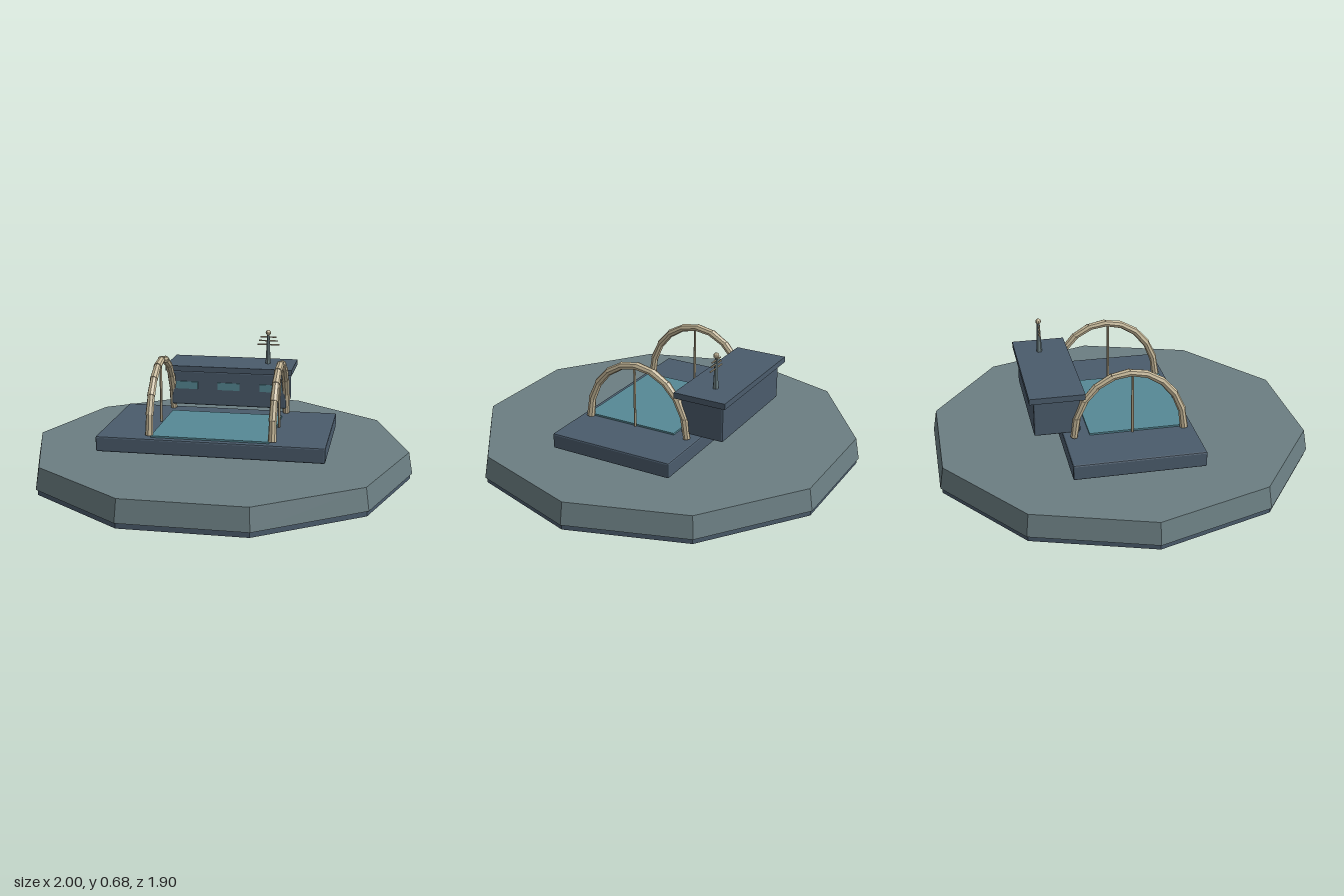
import * as THREE from 'three';
import { RoundedBoxGeometry } from 'three/addons/geometries/RoundedBoxGeometry.js';

const material = (name, color, flatShading = true) => {
  const m = new THREE.MeshStandardMaterial({ color, flatShading });
  m.name = name;
  return m;
};

export function createModel() {
  const model = new THREE.Group();
  model.name = 'poolPlatform';
  const stone = material('greyStone', 0x6b7e82);
  const slate = material('darkSlate', 0x4a5b6b);
  const water = material('tealGlass', 0x568995);
  const bone = material('paleBone', 0xc6b899);

  const add = (name, geometry, mat, x, y, z, parent = model) => {
    const mesh = new THREE.Mesh(geometry, mat);
    mesh.name = name;
    mesh.position.set(x, y, z);
    parent.add(mesh);
    return mesh;
  };

  // Ten-sided base with corners on the x axis
  const disc = (top, bottom, height) =>
    new THREE.CylinderGeometry(top, bottom, height, 10).rotateY(Math.PI / 2);
  add('baseSkirt', disc(0.99, 0.99, 0.03), slate, 0, 0.015, 0);
  add('baseDisc', disc(0.98, 1, 0.112), stone, 0, 0.084, 0);

  // Raised deck and pool
  add('deck', new RoundedBoxGeometry(1.16, 0.08, 0.66, 1, 0.008), slate, 0, 0.198, 0);
  add('pool', new THREE.BoxGeometry(0.6, 0.012, 0.5), water, 0, 0.241, 0.05);

  // House with overhanging roof and three windows
  add('house', new RoundedBoxGeometry(0.63, 0.19, 0.23, 1, 0.008), slate, 0, 0.365, -0.3625);
  add('roof', new THREE.BoxGeometry(0.69, 0.03, 0.275), slate, 0, 0.475, -0.3625);
  for (const x of [-0.23, 0, 0.23]) {
    add('window', new THREE.BoxGeometry(0.12, 0.04, 0.008), water, x, 0.38, -0.245);
  }

  // Segmented arches, each with a slim central post
  const up = new THREE.Vector3(0, 1, 0);
  const arcPoint = (i) => {
    const a = (i / 10) * Math.PI;
    return new THREE.Vector3(0, 0.245 + 0.325 * Math.sin(a), 0.28 * Math.cos(a));
  };
  for (const side of [-1, 1]) {
    const arch = new THREE.Group();
    arch.name = side > 0 ? 'leftArch' : 'rightArch';
    arch.position.x = side * 0.312;
    model.add(arch);
    for (let i = 0; i < 10; i++) {
      const a = arcPoint(i), b = arcPoint(i + 1);
      const mid = a.clone().add(b).multiplyScalar(0.5);
      const dir = b.sub(a);
      const segment = add('archSegment',
        new THREE.CylinderGeometry(0.018, 0.021, dir.length() * 1.04, 8),
        bone, mid.x, mid.y, mid.z, arch);
      segment.quaternion.setFromUnitVectors(up, dir.normalize());
    }
    add('archPost', new THREE.CylinderGeometry(0.007, 0.007, 0.325, 6), bone, 0, 0.405, 0.015, arch);
  }

  // Rooftop antenna
  const antenna = new THREE.Group();
  antenna.name = 'antenna';
  antenna.position.set(0.197, 0.49, -0.375);
  model.add(antenna);
  add('mast', new THREE.CylinderGeometry(0.007, 0.015, 0.17, 6), stone, 0, 0.085, 0, antenna);
  add('mastTip', new THREE.SphereGeometry(0.015, 8, 6), bone, 0, 0.17, 0, antenna);
  [0.06, 0.052, 0.044].forEach((half, i) => {
    add('crossbar', new THREE.CylinderGeometry(0.004, 0.004, half * 2, 6).rotateZ(Math.PI / 2),
      bone, 0, 0.105 + i * 0.021, 0, antenna);
  });
  return model;
}
